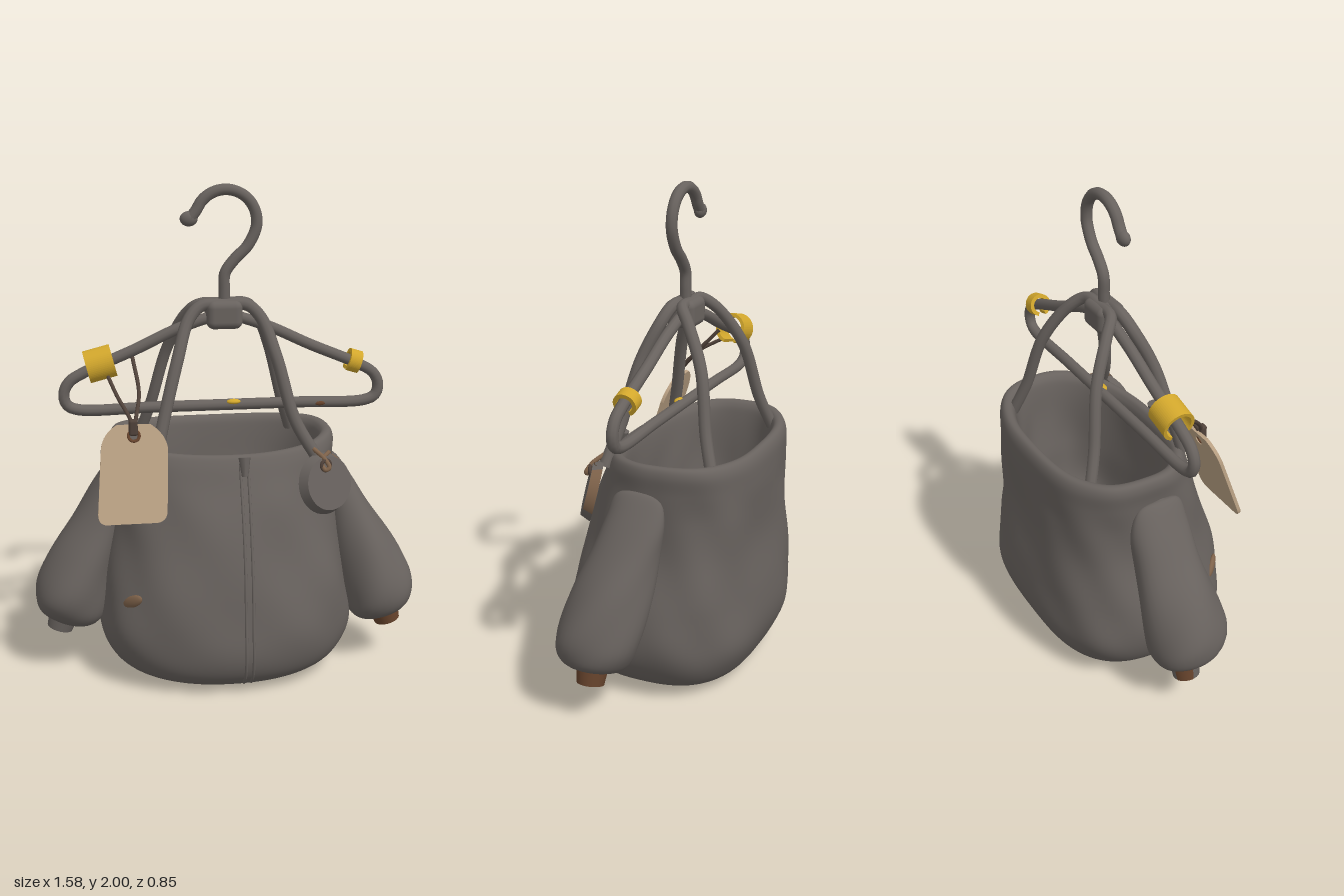
import * as THREE from 'three';
import { RoundedBoxGeometry } from 'three/addons/geometries/RoundedBoxGeometry.js';

const V = (x, y, z = 0) => new THREE.Vector3(x, y, z);
const HZ = -0.02; // depth of the hanger plane

const mat = (name, color, extra = {}) => new THREE.MeshStandardMaterial({ name, color, ...extra });

// Smooth surface from point(u, angle), closed around the angle
function loft(point, nu, nv) {
  const pos = [], idx = [];
  for (let i = 0; i <= nu; i++)
    for (let j = 0; j < nv; j++) pos.push(...point(i / nu, (j / nv) * Math.PI * 2).toArray());
  for (let i = 0; i < nu; i++)
    for (let j = 0; j < nv; j++) {
      const a = i * nv + j, b = i * nv + (j + 1) % nv, c = a + nv, d = b + nv;
      idx.push(a, c, b, b, c, d);
    }
  const g = new THREE.BufferGeometry();
  g.setAttribute('position', new THREE.Float32BufferAttribute(pos, 3));
  g.setIndex(idx);
  g.computeVertexNormals();
  return g;
}

const tube = (pts, r, seg = 40, closed = false) =>
  new THREE.TubeGeometry(new THREE.CatmullRomCurve3(pts, closed, 'centripetal'), seg, r, 10, closed);

// Pouch profile rows: height, half width, front z, back z (outside up, over the rim, inside down)
const ROWS = [
  [0, 0.001, 0.001, -0.001], [0, 0.27, 0.23, -0.23], [0.03, 0.4, 0.33, -0.32], [0.1, 0.485, 0.395, -0.375],
  [0.22, 0.53, 0.418, -0.415], [0.4, 0.512, 0.4, -0.41], [0.6, 0.468, 0.352, -0.392], [0.75, 0.455, 0.31, -0.39],
  [0.87, 0.458, 0.265, -0.39], [0.945, 0.465, 0.235, -0.385], [0.98, 0.45, 0.21, -0.365], [0.97, 0.415, 0.18, -0.335],
  [0.9, 0.395, 0.165, -0.32], [0.65, 0.37, 0.16, -0.295], [0.42, 0.31, 0.14, -0.24], [0.36, 0.001, 0.001, -0.001]];
const sizes = new THREE.CatmullRomCurve3(ROWS.map(r => V(r[0], r[1], r[2])), false, 'catmullrom', 0.5);
const backs = new THREE.CatmullRomCurve3(ROWS.map(r => V(r[3], 0, 0)), false, 'catmullrom', 0.5);
const POW = 2.25, BACK_POW = 2.8; // the back is boxier than the front

function pouchPoint(t, ang) {
  const s = sizes.getPoint(t), zb = backs.getPoint(t).x;
  const y = Math.max(0, s.x), a = s.y, cz = (s.z + zb) / 2, b = (s.z - zb) / 2;
  const c = Math.cos(ang), sn = Math.sin(ang);
  // soft cloth folds and a gently wavy rim
  const mask = THREE.MathUtils.smoothstep(y, 0.05, 0.3) * (1 - 0.7 * THREE.MathUtils.smoothstep(y, 0.75, 0.95));
  const fold = 1 + mask * (0.012 * Math.sin(5 * ang + 9 * y) + 0.009 * Math.sin(9 * ang - 13 * y + 1));
  const e = 2 / (sn < 0 ? BACK_POW : POW);
  const lift = THREE.MathUtils.smoothstep(y, 0.6, 0.98) * (0.012 * Math.cos(2 * ang) - 0.012 * sn);
  return V(a * fold * Math.sign(c) * Math.abs(c) ** e, y + lift,
    cz + b * fold * Math.sign(sn) * Math.abs(sn) ** e);
}

// Point on the pouch's outer front at a given x and height
function frontPoint(x, y) {
  let lo = 1 / 15, hi = 10 / 15;
  for (let i = 0; i < 24; i++) {
    const m = (lo + hi) / 2;
    if (sizes.getPoint(m).x < y) lo = m; else hi = m;
  }
  const k = x / sizes.getPoint(lo).y;
  return pouchPoint(lo, Math.acos(Math.sign(k) * Math.abs(k) ** (POW / 2)));
}

// Sleeve rows: x, y, z, radius across, radius in depth
const SLEEVE = [
  [0.447, 0.885, -0.03, 0.004, 0.004], [0.452, 0.865, -0.025, 0.03, 0.09], [0.475, 0.77, -0.02, 0.068, 0.124],
  [0.522, 0.64, 0, 0.1, 0.138], [0.585, 0.49, 0.03, 0.133, 0.158], [0.635, 0.35, 0.06, 0.152, 0.168],
  [0.657, 0.265, 0.07, 0.145, 0.152], [0.673, 0.215, 0.07, 0.1, 0.1], [0.677, 0.205, 0.07, 0.004, 0.004]];

function sleeveGeometry(side) {
  const drift = side < 0 ? -0.12 : 0;
  const mid = new THREE.CatmullRomCurve3(SLEEVE.map((r, i) => V(side * r[0], r[1], r[2] + drift * i / 8)), false, 'catmullrom', 0.5);
  const rad = new THREE.CatmullRomCurve3(SLEEVE.map(r => V(r[3], r[4], 0)), false, 'catmullrom', 0.5);
  return loft((u, ang) => {
    const c = mid.getPoint(u), r = rad.getPoint(u);
    const w = 1 + 0.03 * Math.sin(4 * ang + 14 * u) * Math.sin(Math.PI * u);
    const k = r.x * w * Math.cos(ang);
    return V(c.x + side * 0.94 * k, c.y + 0.33 * k, c.z - side * r.y * w * Math.sin(ang));
  }, 40, 32);
}

// Split band that wraps around a hanger arm
function bandGeometry(r, length, thick) {
  const s = new THREE.Shape();
  s.absarc(0, 0, r, -1.2, Math.PI + 1.2, false);
  s.absarc(0, 0, r - thick, Math.PI + 1.2, -1.2, true);
  s.closePath();
  return new THREE.ExtrudeGeometry(s, { depth: length, bevelEnabled: false, curveSegments: 24 }).translate(0, 0, -length / 2);
}

export function createModel() {
  const model = new THREE.Group();
  const grey = mat('charcoalCloth', 0x68625e, { side: THREE.DoubleSide });
  const yellow = mat('yellowClip', 0xd2a72c);
  const beige = mat('beigeCard', 0xbaa184);
  const brown = mat('rustBrown', 0x66432c);
  const faded = mat('fadedBrown', 0x7e624a);
  const cord = mat('darkCord', 0x50423a);
  const add = (name, geo, m, x = 0, y = 0, z = 0) => {
    const mesh = new THREE.Mesh(geo, m);
    mesh.name = name;
    mesh.position.set(x, y, z);
    model.add(mesh);
    return mesh;
  };

  // Garment pouch with zip placket
  add('pouch', loft(pouchPoint, 110, 96), grey);
  for (const x of [0.03, 0.06]) {
    const pts = [];
    for (let i = 0; i <= 24; i++) pts.push(frontPoint(x, 0.04 + i * 0.038));
    add('zipPlacket', tube(pts, 0.006, 80), grey, 0, 0, 0.001);
  }
  const zip = frontPoint(0.045, 0.92);
  add('zipPull', new THREE.CylinderGeometry(0.024, 0.013, 0.075, 8), grey, 0.045, 0.922, zip.z + 0.006).rotation.x = -0.25;
  const stain = frontPoint(-0.41, 0.385);
  const patch = add('pouchPatch', new THREE.SphereGeometry(1, 20, 10), faded, stain.x, stain.y, stain.z);
  patch.scale.set(0.055, 0.024, 0.014);
  patch.rotation.set(0, -0.8, 0.5);

  // Sleeves and cuffs
  for (const side of [1, -1]) {
    add(side > 0 ? 'leftSleeve' : 'rightSleeve', sleeveGeometry(side), grey);
    const z = side > 0 ? 0.07 : -0.045;
    add('cuff', new THREE.CylinderGeometry(0.062, 0.054, 0.06, 20), side > 0 ? brown : grey, side * 0.688, 0.187, z)
      .rotation.z = side * 0.3;
  }
  add('cuffPatch', new THREE.CylinderGeometry(0.064, 0.056, 0.06, 12, 1, true, Math.PI * 1.1, Math.PI * 0.4), brown, -0.688, 0.187, -0.045)
    .rotation.z = -0.3;

  // Hanger frame and hook
  const half = [[0.16, 1.44], [0.36, 1.35], [0.57, 1.26], [0.625, 1.225], [0.648, 1.175], [0.635, 1.13], [0.59, 1.11], [0.3, 1.11]];
  const frame = [V(0, 1.48, HZ), ...half.map(p => V(p[0], p[1], HZ)), V(0, 1.11, HZ),
    ...half.slice().reverse().map(p => V(-p[0], p[1], HZ))];
  add('hangerFrame', tube(frame, 0.023, 160, true), grey);
  const hook = [V(0.003, 1.46, HZ), V(0.003, 1.58, HZ), V(0.006, 1.65, HZ), V(0.045, 1.705, HZ), V(0.095, 1.755, HZ)];
  for (let i = 0; i <= 10; i++) {
    const a = -0.25 + i * 0.3;
    hook.push(V(0.008 + 0.125 * Math.cos(a), 1.853 + 0.125 * Math.sin(a), HZ));
  }
  hook.push(V(-0.135, 1.863, HZ));
  add('hook', tube(hook, 0.023, 80), grey);
  add('hookTip', new THREE.SphereGeometry(0.03, 16, 12), grey, -0.138, 1.866, HZ).scale.set(1.2, 1, 0.8);
  add('hangerHub', new RoundedBoxGeometry(0.145, 0.115, 0.12, 4, 0.03), grey, 0, 1.487, HZ);

  // Four straps from hub to rim
  for (const s of [1, -1]) {
    const end = s > 0 ? V(0.355, 0.92, 0.17) : V(-0.295, 0.95, 0.17);
    add('frontStrap', tube([V(0, 1.525, 0), V(s * 0.09, 1.525, 0), V(s * 0.145, 1.475, 0.02), V(s * 0.2, 1.32, 0.085),
      V(s * 0.265, 1.08, 0.14), end], 0.025), grey);
    add('backStrap', tube([V(0, 1.525, -0.04), V(s * 0.09, 1.525, -0.045), V(s * 0.145, 1.475, -0.095), V(s * 0.215, 1.32, -0.18),
      V(s * 0.28, 1.08, -0.23), V(s * 0.325, 0.94, -0.275)], 0.024), grey);
  }

  // Yellow bands and small marks on the bar
  add('largeBand', bandGeometry(0.066, 0.11, 0.014), yellow, -0.5, 1.295, -0.027).rotation.set(0, Math.PI / 2, 0.25, 'ZYX');
  add('smallBand', bandGeometry(0.047, 0.05, 0.016), yellow, 0.543, 1.275, -0.03).rotation.set(0, Math.PI / 2, -0.3, 'ZYX');
  add('yellowMark', new THREE.SphereGeometry(1, 16, 8), yellow, 0.04, 1.124, HZ + 0.012).scale.set(0.03, 0.011, 0.018);
  add('brownMark', new THREE.SphereGeometry(1, 16, 8), brown, 0.4, 1.106, HZ + 0.02).scale.set(0.022, 0.009, 0.006);

  // Card tag on a cord
  const s = new THREE.Shape();
  s.moveTo(-0.115, -0.198);
  s.lineTo(0.08, -0.198);
  s.quadraticCurveTo(0.12, -0.195, 0.124, -0.155);
  s.lineTo(0.137, 0.09);
  s.quadraticCurveTo(0.13, 0.15, 0.07, 0.19);
  s.lineTo(-0.06, 0.19);
  s.quadraticCurveTo(-0.115, 0.16, -0.125, 0.1);
  s.lineTo(-0.146, -0.155);
  s.quadraticCurveTo(-0.147, -0.195, -0.115, -0.198);
  const hole = new THREE.Path();
  hole.absarc(0.005, 0.145, 0.02, 0, Math.PI * 2, true);
  s.holes.push(hole);
  const tag = new THREE.Group();
  tag.name = 'cardTag';
  const card = new THREE.Mesh(new THREE.ExtrudeGeometry(s, { depth: 0.014, bevelEnabled: false }), beige);
  card.name = 'card';
  const eyelet = new THREE.Mesh(new THREE.TorusGeometry(0.022, 0.007, 8, 20), brown);
  eyelet.name = 'eyelet';
  eyelet.position.set(0.005, 0.145, 0.01);
  tag.add(card, eyelet);
  tag.position.set(-0.39, 0.91, 0.23);
  tag.rotation.x = -0.33;
  model.add(tag);
  add('tagCord', tube([V(-0.47, 1.25, 0.02), V(-0.44, 1.19, 0.12), V(-0.395, 1.11, 0.185), V(-0.385, 1.05, 0.2),
    V(-0.375, 1.11, 0.175), V(-0.355, 1.2, 0.1), V(-0.37, 1.32, -0.01)], 0.008, 60), cord);
  add('cordKnot', new RoundedBoxGeometry(0.035, 0.065, 0.03, 2, 0.01), cord, -0.387, 1.085, 0.195);

  // Round tag tied to the left strap, bevelled, with a worn patch on its edge
  const facing = new THREE.Quaternion().setFromUnitVectors(V(0, 1, 0), V(0.42, 0.25, 0.87).normalize());
  add('roundTag', new THREE.CylinderGeometry(0.108, 0.125, 0.04, 40), grey, 0.385, 0.828, 0.215)
    .quaternion.copy(facing);
  add('roundTagWear', new THREE.CylinderGeometry(0.1095, 0.1265, 0.039, 20, 1, true, Math.PI * 0.5, Math.PI * 0.5), faded, 0.385, 0.828, 0.215)
    .quaternion.copy(facing);
  add('roundTagTie', tube([V(0.335, 0.965, 0.18), V(0.37, 0.935, 0.215), V(0.39, 0.9, 0.235), V(0.375, 0.89, 0.235),
    V(0.36, 0.92, 0.215), V(0.40, 0.95, 0.18)], 0.009, 40), faded);
  add('roundTagEyelet', new THREE.TorusGeometry(0.022, 0.007, 8, 20), cord, 0.378, 0.905, 0.222).rotation.y = 0.4;
  return model;
}
